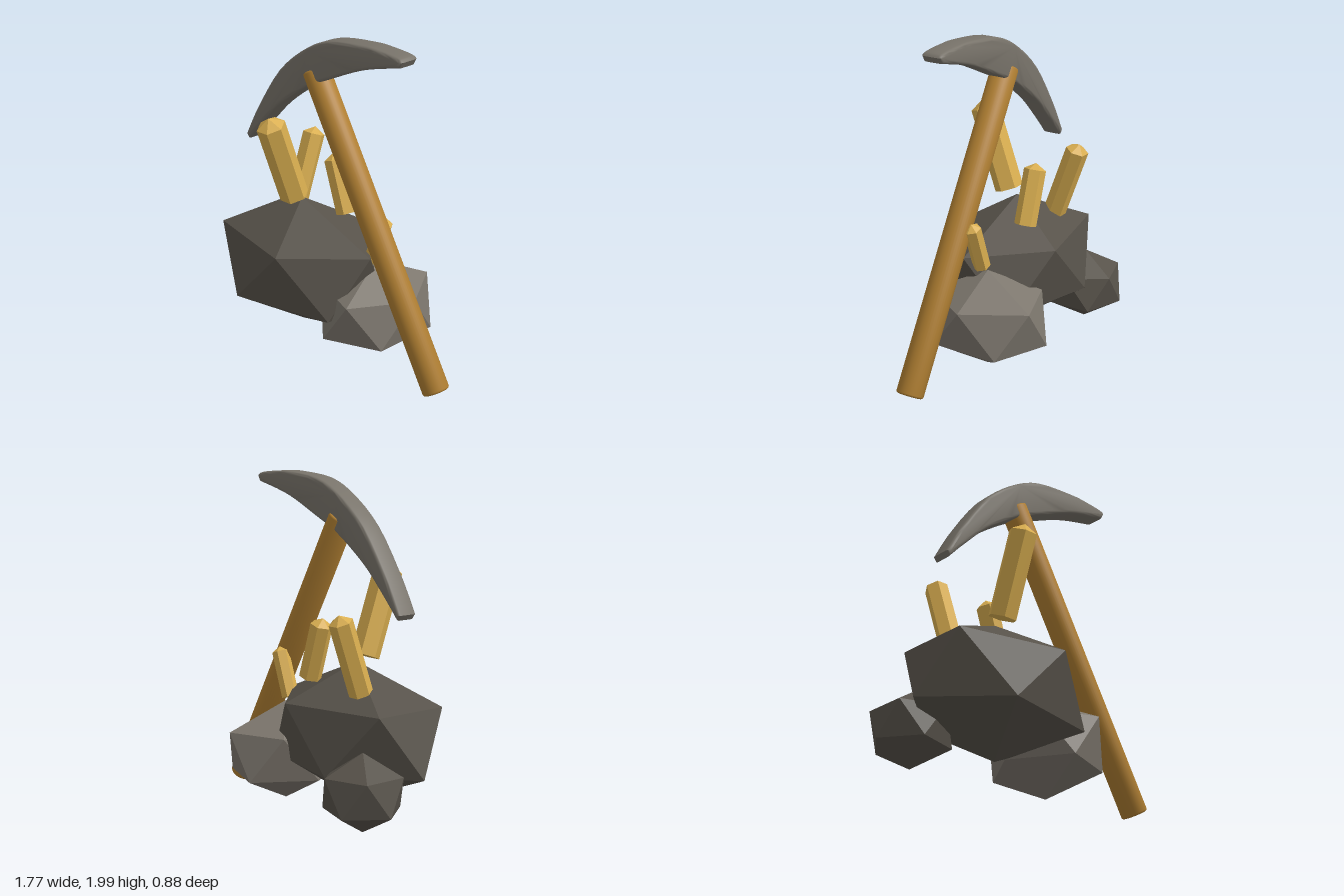
import * as THREE from 'three';
import { toCreasedNormals } from 'three/addons/utils/BufferGeometryUtils.js';
import { ConvexGeometry } from 'three/addons/geometries/ConvexGeometry.js';

const V = (x, y, z) => new THREE.Vector3(x, y, z);
const material = (name, color) => Object.assign(new THREE.MeshStandardMaterial({ color }), { name });

// Horizontal ring of n points
function ring(n, y, rx, rz, start = 0) {
  return Array.from({ length: n }, (_, i) => {
    const a = start + (i / n) * Math.PI * 2;
    return V(Math.cos(a) * rx, y, Math.sin(a) * rz);
  });
}

// Stretched twenty-sided boulder standing on one corner
function rock(rx, ry, rz) {
  const h = 0.447 * ry, s = 0.894;
  return new ConvexGeometry([
    V(0, ry, 0), ...ring(5, h, rx * s, rz * s),
    ...ring(5, -h, rx * s, rz * s, Math.PI), V(0, -ry, 0),
  ]);
}

// Six-sided prism with a low pointed tip
function crystal(r, length) {
  return new ConvexGeometry([...ring(6, 0, r, r), ...ring(6, length, r, r), V(0, length + r * 0.6, 0)]);
}

// Crescent pick head with rounded edges
function pickHead() {
  const outer = [[0.56, 1.965], [0.53, 1.985], [0.4, 1.998], [0.27, 2], [0, 1.97], [-0.2, 1.88],
    [-0.41, 1.71], [-0.6, 1.445], [-0.712, 1.245]];
  const inner = [[-0.69, 1.215], [-0.57, 1.345], [-0.41, 1.5], [-0.18, 1.66], [0, 1.745],
    [0.27, 1.86], [0.54, 1.93]];
  const curve = (pts) => new THREE.SplineCurve(pts.map((p) => new THREE.Vector2(...p))).getPoints(28);
  const shape = new THREE.Shape([...curve(outer), ...curve(inner)]);
  const geo = new THREE.ExtrudeGeometry(shape, {
    depth: 0.095, bevelThickness: 0.02, bevelSize: 0.02, bevelOffset: -0.02, bevelSegments: 4,
  });
  geo.translate(0, 0, -0.0475);
  return toCreasedNormals(geo, 0.8);
}

// Round handle with softened ends
function handle(r, length) {
  const b = 0.012;
  const profile = [[0, 0], [r - b, 0], [r - b * 0.3, b * 0.3], [r, b], [r, length - b],
    [r - b * 0.3, length - b * 0.3], [r - b, length], [0, length]];
  const geo = new THREE.LatheGeometry(profile.map((p) => new THREE.Vector2(...p)), 32);
  return toCreasedNormals(geo, 0.85);
}

export function createModel() {
  const model = new THREE.Group();
  model.name = 'pickaxeAndCrystals';
  const darkStone = material('darkStone', 0x57524a);
  const lightStone = material('lightStone', 0x7d776e);
  const metal = material('metal', 0x78736a);
  const wood = material('wood', 0xb07f32);
  const gold = material('gold', 0xd9ae50);

  function add(name, geo, mat, pos) {
    const mesh = new THREE.Mesh(geo, mat);
    mesh.name = name;
    mesh.position.set(...pos);
    model.add(mesh);
    return mesh;
  }

  // Boulders
  add('mainRock', rock(0.64, 0.41, 0.455), darkStone, [-0.29, 0.52, 0.035]);
  add('leftSideRock', rock(0.35, 0.3, 0.41), lightStone, [0.21, 0.335, -0.09]);
  add('rightSideRock', rock(0.258, 0.226, 0.255), darkStone, [-0.66, 0.276, -0.24]);

  // Crystals: radius, length, base, tilt about x and z in degrees
  [
    ['frontCrystal', 0.087, 0.515, [-0.295, 0.956, 0.096], 20, 0],
    ['rightCrystal', 0.07, 0.445, [-0.495, 0.79, -0.11], -20, 0],
    ['backCrystal', 0.066, 0.335, [-0.095, 0.83, -0.15], 0, 18],
    ['leftCrystal', 0.052, 0.28, [0.214, 0.652, -0.05], 0, -20],
  ].forEach(([name, r, length, base, tx, tz]) => {
    const mesh = add(name, crystal(r, length), gold, base);
    mesh.rotation.set(THREE.MathUtils.degToRad(tx), 0, THREE.MathUtils.degToRad(tz));
  });

  // Leaning pickaxe
  const bottom = V(0.818, 0.043, 0.037), top = V(-0.163, 1.76, 0.037);
  const axis = top.clone().sub(bottom);
  const shaft = add('handle', handle(0.08, axis.length()), wood, bottom.toArray());
  shaft.quaternion.setFromUnitVectors(V(0, 1, 0), axis.normalize());
  add('pickHead', pickHead(), metal, [0, 0, 0.037]);

  return model;
}
